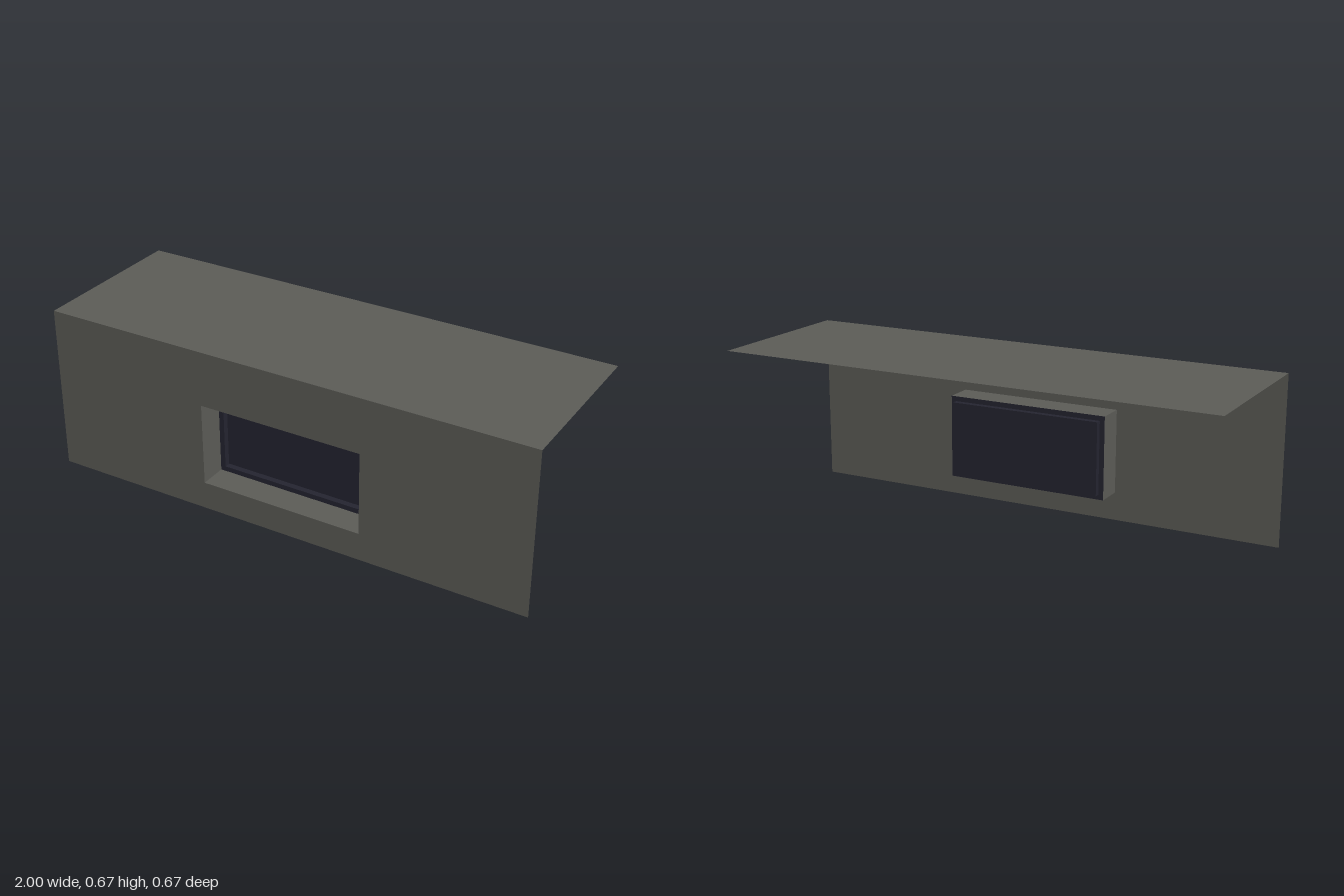
import * as THREE from 'three';

// Rectangle outline centred on (0, cy), as a Shape or a hole Path
function rect(Type, hw, hh, cy) {
  const p = new Type();
  p.moveTo(-hw, cy - hh);
  p.lineTo(hw, cy - hh);
  p.lineTo(hw, cy + hh);
  p.lineTo(-hw, cy + hh);
  p.closePath();
  return p;
}

export function createModel() {
  const model = new THREE.Group();
  model.name = 'wallWithRecessedWindow';
  const concrete = new THREE.MeshStandardMaterial({ color: 0x5c5c57, side: THREE.DoubleSide });
  concrete.name = 'grey concrete';
  const glass = new THREE.MeshStandardMaterial({ color: 0x242430, side: THREE.DoubleSide });
  glass.name = 'dark glass';

  const add = (parent, name, geometry, material, x = 0, y = 0, z = 0) => {
    const mesh = new THREE.Mesh(geometry, material);
    mesh.name = name;
    mesh.position.set(x, y, z);
    parent.add(mesh);
    return mesh;
  };

  const third = 1 / 3;
  const frontZ = third, frameZ = 0.222, paneZ = 0.198;
  const cy = 0.279;                       // window centre height
  const openW = third, openH = 1 / 6;     // opening half sizes
  const paneW = 0.313, paneH = 0.147;     // pane half sizes

  // Four thin faces running back around a rectangular opening
  const tunnel = (name, hw, hh, z0, z1, material) => {
    const group = new THREE.Group();
    group.name = name;
    const depth = z0 - z1, z = (z0 + z1) / 2;
    for (const s of [-1, 1]) {
      add(group, s > 0 ? 'leftSide' : 'rightSide',
        new THREE.PlaneGeometry(depth, 2 * hh), material, s * hw, cy, z).rotation.y = -s * Math.PI / 2;
      add(group, s > 0 ? 'topSide' : 'bottomSide',
        new THREE.PlaneGeometry(2 * hw, depth), material, 0, cy + s * hh, z).rotation.x = s * Math.PI / 2;
    }
    model.add(group);
  };

  // Front wall with the window opening
  const wall = rect(THREE.Shape, 1, third, third);
  wall.holes.push(rect(THREE.Path, openW, openH, cy));
  add(model, 'frontWall', new THREE.ShapeGeometry(wall), concrete, 0, 0, frontZ);

  // Flat roof running back from the top of the wall
  add(model, 'roof', new THREE.PlaneGeometry(2, 2 * third), concrete, 0, 2 * third, 0).rotation.x = -Math.PI / 2;

  // Deep reveal, then the window rim, its inner step and the pane
  tunnel('windowReveal', openW, openH, frontZ, frameZ, concrete);
  const rim = rect(THREE.Shape, openW, openH, cy);
  rim.holes.push(rect(THREE.Path, paneW, paneH, cy));
  add(model, 'windowRim', new THREE.ShapeGeometry(rim), glass, 0, 0, frameZ);
  tunnel('windowStep', paneW, paneH, frameZ, paneZ, glass);
  add(model, 'windowPane', new THREE.PlaneGeometry(2 * paneW, 2 * paneH), glass, 0, cy, paneZ);

  return model;
}
